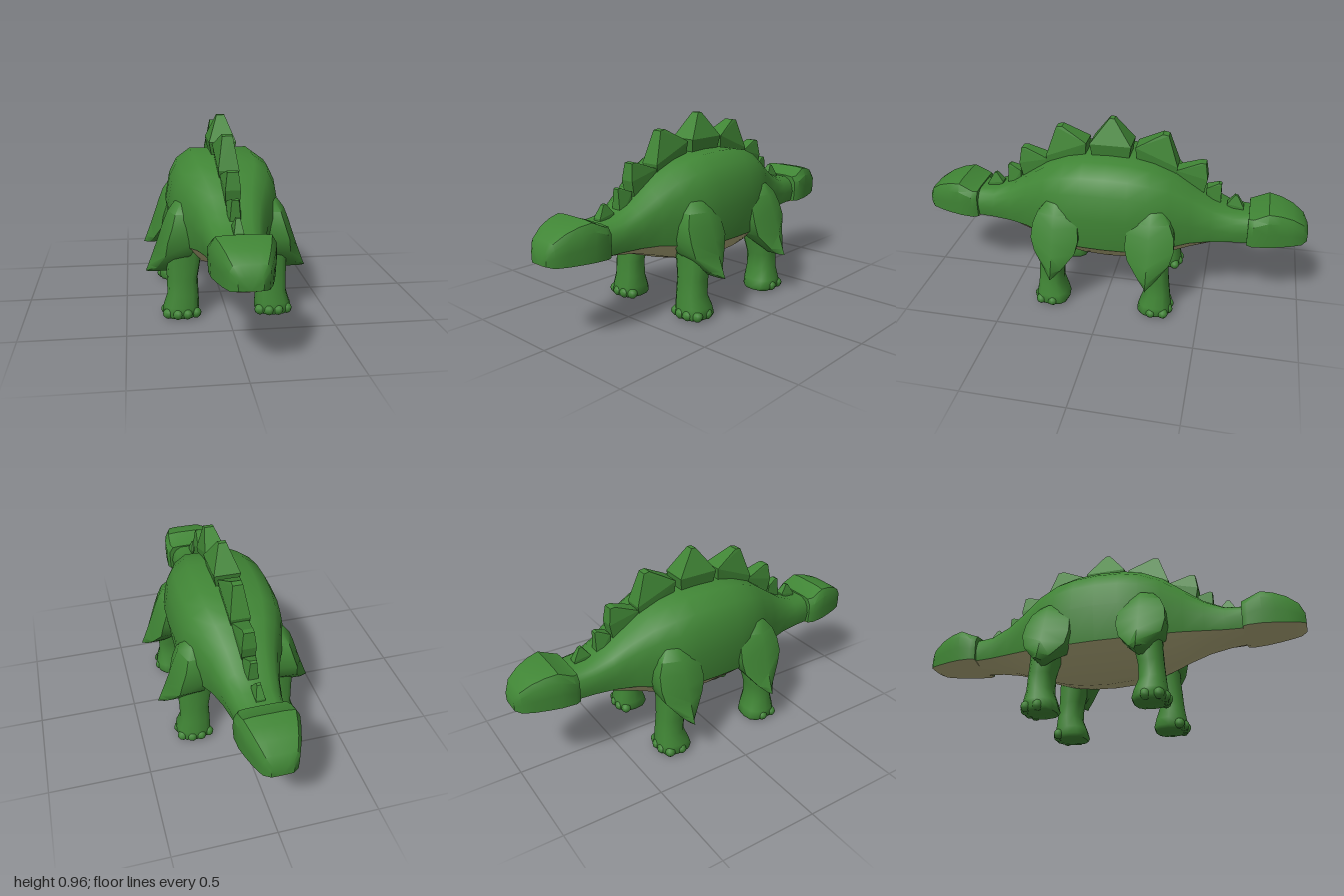
import * as THREE from 'three';
import { toCreasedNormals } from 'three/addons/utils/BufferGeometryUtils.js';
import { ConvexGeometry } from 'three/addons/geometries/ConvexGeometry.js';

const green = new THREE.MeshStandardMaterial({ color: 0x408535 });
green.name = 'green skin';
const tan = new THREE.MeshStandardMaterial({ color: 0xb2ac7c });
tan.name = 'tan belly';

// Skin a list of rings (each a list of [x, y, z]); flip reverses the winding
function loft(rings, { closed = false, flip = false, crease = 0.7 } = {}) {
  const n = rings[0].length;
  const index = [];
  for (let i = 0; i < rings.length - 1; i++) {
    for (let j = 0; j < (closed ? n : n - 1); j++) {
      const k = (j + 1) % n;
      const a = i * n + j, b = i * n + k, c = a + n, d = b + n;
      if (flip) index.push(a, c, b, b, c, d);
      else index.push(a, b, c, b, d, c);
    }
  }
  const g = new THREE.BufferGeometry();
  g.setAttribute('position', new THREE.Float32BufferAttribute(rings.flat(2), 3));
  g.setIndex(index);
  return toCreasedNormals(g, crease);
}

function addMesh(parent, name, geometry, material) {
  const mesh = new THREE.Mesh(geometry, material);
  mesh.name = name;
  parent.add(mesh);
}

// Half profiles: [fraction of half width, fraction of height above the belly line]
const bodyProfile = [[0.9, 0], [1, 0.41], [0.92, 0.7], [0.79, 0.87], [0.53, 0.995], [0, 0.99]];
const headProfile = [[0.97, 0], [1, 0.4], [1, 0.76], [0.85, 0.97], [0.5, 1], [0, 1]];

// Upper arc from +x over the back to -x
function backArc([z, w, top, edge], profile) {
  const half = profile.map(([fx, fy]) => [fx * w, edge + fy * (top - edge), z]);
  return [...half, ...half.slice(0, -1).reverse().map(([x, y]) => [-x, y, z])];
}
// Lower arc from -x under the belly to +x
function bellyArc([z, w, , edge, bottom], profile) {
  const s = profile[0][0] * w, low = bottom + 0.25 * (edge - bottom);
  return [[-s, edge, z], [-0.52 * w, low, z], [0, bottom, z], [0.52 * w, low, z], [s, edge, z]];
}
const collapse = (ring, y) => ring.map(p => [0, y, p[2]]);

// Sections: z, half width, top, belly line, bottom
const bodySections = [
  [0, 0.285, 0.78, 0.345, 0.213], [0.12, 0.28, 0.775, 0.345, 0.219],
  [0.22, 0.265, 0.755, 0.35, 0.235], [0.32, 0.225, 0.715, 0.365, 0.265],
  [0.42, 0.178, 0.645, 0.38, 0.3], [0.52, 0.147, 0.575, 0.385, 0.335],
  [0.62, 0.127, 0.53, 0.385, 0.355], [0.72, 0.118, 0.522, 0.385, 0.366],
];
const headSections = [
  [0.705, 0.132, 0.53, 0.385, 0.364], [0.73, 0.145, 0.535, 0.385, 0.366],
  [0.8, 0.141, 0.57, 0.387, 0.37], [0.86, 0.126, 0.56, 0.388, 0.375],
  [0.92, 0.107, 0.538, 0.389, 0.38], [0.975, 0.083, 0.5, 0.391, 0.385],
  [1, 0.052, 0.455, 0.398, 0.396],
];

// Thigh rings: y, outer x, side x, inner x, half depth
const thighRings = [
  [0.225, 0.4, 0.37, 0.3, 0.012], [0.255, 0.388, 0.345, 0.28, 0.045],
  [0.33, 0.36, 0.305, 0.18, 0.105], [0.4, 0.335, 0.295, 0.155, 0.122],
  [0.47, 0.312, 0.272, 0.15, 0.116], [0.53, 0.288, 0.255, 0.15, 0.092],
  [0.575, 0.255, 0.23, 0.15, 0.055],
];
// Lower leg rings: y, centre x, half width, centre z, half depth
const shinRings = [
  [0.005, 0.23, 0.08, 0.27, 0.08], [0.022, 0.23, 0.09, 0.27, 0.088],
  [0.06, 0.228, 0.088, 0.273, 0.08], [0.12, 0.22, 0.077, 0.28, 0.064],
  [0.2, 0.222, 0.076, 0.275, 0.062], [0.3, 0.215, 0.088, 0.26, 0.07],
  [0.42, 0.21, 0.08, 0.25, 0.08],
];
// Toes: x, z
const toes = [[0.16, 0.325], [0.203, 0.341], [0.25, 0.341], [0.296, 0.322], [0.302, 0.26]];

function makeLeg(sx, sz) {
  const leg = new THREE.Group();
  leg.name = (sz > 0 ? 'front' : 'back') + (sx > 0 ? 'Left' : 'Right') + 'Leg';
  const opts = { closed: true, flip: sx * sz < 0, crease: 1.1 };
  const mid = 0.24;

  // Flared thigh ending in an outward point
  const thigh = thighRings.map(([y, xo, xm, xi, d]) => [
    [xo, mid], [xm, mid - d], [xi, mid - d * 0.93], [xi, mid + d * 0.93], [xm, mid + d],
  ].map(([x, z]) => [sx * x, y, sz * z]));
  thigh.unshift(thigh[0].map(() => [sx * 0.34, 0.228, sz * mid]));
  thigh.push(thigh[0].map(() => [sx * 0.2, 0.6, sz * mid]));
  addMesh(leg, 'thigh', loft(thigh, opts), green);

  // Lower leg with a squarish section
  const shin = shinRings.map(([y, cx, rx, cz, rz]) => Array.from({ length: 12 }, (_, j) => {
    const t = j / 12 * Math.PI * 2;
    const box = v => Math.sign(v) * Math.abs(v) ** 0.75;
    return [sx * (cx + rx * box(Math.cos(t))), y, sz * (cz - rz * box(Math.sin(t)))];
  }));
  shin.unshift(shin[0].map(() => [sx * 0.23, 0.005, sz * 0.275]));
  addMesh(leg, 'lowerLeg', loft(shin, opts), green);

  // Rounded toes around the foot
  toes.forEach(([x, z], i) => {
    const toe = new THREE.SphereGeometry(0.027, 8, 6).translate(sx * x, 0.027, sz * z);
    addMesh(leg, `toe${i + 1}`, toe, green);
  });
  return leg;
}

// Back plate from side points [z, y, half thickness]
function plate(points, sz) {
  return new ConvexGeometry(points.flatMap(([z, y, t]) =>
    [-t, t].map(x => new THREE.Vector3(x, y, sz * z))));
}
const centrePlate = [[-0.012, 0.96, 0.02], [0.012, 0.96, 0.02], [-0.105, 0.835, 0.068],
  [0.105, 0.835, 0.068], [-0.09, 0.74, 0.05], [0.09, 0.74, 0.05]];
const sidePlates = [
  [[0.255, 0.9, 0.025], [0.285, 0.895, 0.025], [0.338, 0.74, 0.05], [0.125, 0.83, 0.055],
    [0.32, 0.66, 0.04], [0.135, 0.72, 0.04]],
  [[0.45, 0.765, 0.026], [0.475, 0.762, 0.026], [0.487, 0.68, 0.036], [0.33, 0.72, 0.042],
    [0.465, 0.57, 0.03], [0.335, 0.64, 0.03]],
  [[0.545, 0.657, 0.016], [0.558, 0.652, 0.016], [0.485, 0.632, 0.032],
    [0.56, 0.51, 0.03], [0.485, 0.54, 0.03]],
  [[0.628, 0.597, 0.01], [0.642, 0.593, 0.01], [0.592, 0.55, 0.022],
    [0.675, 0.535, 0.022], [0.675, 0.49, 0.02], [0.592, 0.49, 0.02]],
];

export function createModel() {
  const model = new THREE.Group();
  model.name = 'platedDinosaur';

  // Body, with its back and belly as separate skins
  const mirrored = bodySections.slice(1).reverse().map(([z, ...rest]) => [-z, ...rest]);
  const sections = [...mirrored, ...bodySections];
  addMesh(model, 'back', loft(sections.map(s => backArc(s, bodyProfile)), { crease: 1 }), green);
  addMesh(model, 'belly', loft(sections.map(s => bellyArc(s, bodyProfile)), { crease: 1 }), tan);

  for (const sz of [1, -1]) {
    const end = sz > 0 ? 'front' : 'back';

    // Head at each end
    const head = new THREE.Group();
    head.name = end + 'Head';
    const hs = headSections.map(([z, ...rest]) => [sz * z, ...rest]);
    for (const [name, arc, mat] of [['skull', backArc, green], ['jaw', bellyArc, tan]]) {
      const rings = hs.map(s => arc(s, headProfile));
      rings.unshift(collapse(rings[0], hs[0][3]));
      rings.push(collapse(rings[rings.length - 1], 0.398));
      addMesh(head, name, loft(rings, { flip: sz < 0, crease: 0.6 }), mat);
    }
    model.add(head);

    for (const sx of [1, -1]) model.add(makeLeg(sx, sz));
    sidePlates.forEach((p, i) => addMesh(model, `${end}Plate${i + 1}`, plate(p, sz), green));
  }
  addMesh(model, 'centrePlate', plate(centrePlate, 1), green);
  return model;
}
